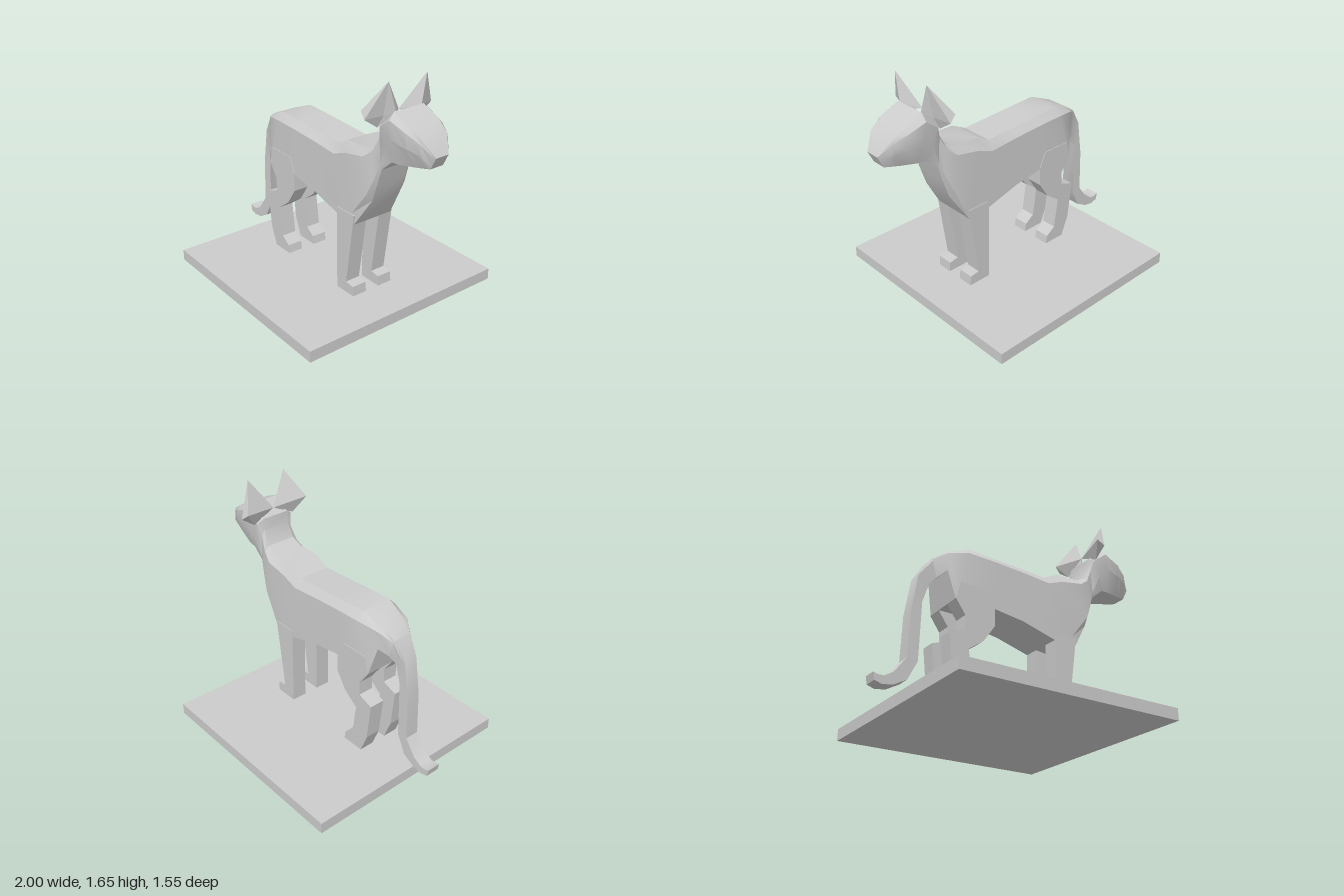
import * as THREE from 'three';
import { toCreasedNormals } from 'three/addons/utils/BufferGeometryUtils.js';

const grey = new THREE.MeshStandardMaterial({ color: 0xcccccc });
const thin = new THREE.MeshStandardMaterial({ color: 0xcccccc, side: THREE.DoubleSide });
const MID = 0.03; // z of the animal's mid-plane

function addMesh(parent, name, geometry, material = grey) {
  const mesh = new THREE.Mesh(geometry, material);
  mesh.name = name;
  parent.add(mesh);
  return mesh;
}

// Joins eight-cornered sections into a closed skin.
// Section: [topX, topY, bottomX, bottomY, sideHalf, topHalf, bottomHalf, lowCorner]
function loft(sections) {
  const pos = [], index = [], n = 8;
  for (const [tx, ty, bx, by, w = 0.05, wt = w, wb = w, low = 0.85] of sections) {
    const ring = [[0, wt], [0.13, w], [low, w], [1, wb], [1, -wb], [low, -w], [0.13, -w], [0, -wt]];
    for (const [t, z] of ring) pos.push(tx + (bx - tx) * t, ty + (by - ty) * t, z);
  }
  const last = sections.length - 1;
  for (let i = 0; i < last; i++) {
    for (let j = 0; j < n; j++) {
      const a = i * n + j, b = i * n + (j + 1) % n;
      index.push(a, b, b + n, a, b + n, a + n);
    }
  }
  for (let j = 1; j < n - 1; j++) {
    index.push(0, j + 1, j, last * n, last * n + j, last * n + j + 1);
  }
  const g = new THREE.BufferGeometry();
  g.setAttribute('position', new THREE.Float32BufferAttribute(pos, 3));
  g.setIndex(index);
  return toCreasedNormals(g, 0.5);
}

// Side outline cut out as a slab, one leg thick
function legGeometry(points) {
  const shape = new THREE.Shape(points.map(([x, y]) => new THREE.Vector2(x, y)));
  return new THREE.ExtrudeGeometry(shape, { depth: 0.11, bevelEnabled: false });
}

// Cupped ear, side = 1 for +z and -1 for -z
function earGeometry(side) {
  const tip = [0.695, 1.65, 0.15], rear = [0.57, 1.46, 0.25], outer = [0.62, 1.42, 0.265];
  const base = [0.62, 1.35, 0.165], inner = [0.62, 1.43, 0], front = [0.71, 1.455, 0.1];
  const cup = [0.655, 1.43, 0.15];
  const faces = [
    [tip, rear, inner], [rear, base, inner], [tip, outer, rear], [rear, outer, base],
    [tip, cup, outer], [outer, cup, base], [tip, front, cup], [cup, front, base], [tip, inner, front],
  ];
  const pos = [];
  for (const face of faces) {
    const order = side > 0 ? face : [face[0], face[2], face[1]];
    for (const [x, y, z] of order) pos.push(x, y, z * side);
  }
  const g = new THREE.BufferGeometry();
  g.setAttribute('position', new THREE.Float32BufferAttribute(pos, 3));
  g.computeVertexNormals();
  return g;
}

export function createModel() {
  const model = new THREE.Group();
  model.name = 'catStatue';

  // Plinth
  addMesh(model, 'base', new THREE.BoxGeometry(1.555, 0.08, 1.555)).position.set(-0.0575, 0.04, 0);

  const cat = new THREE.Group();
  cat.name = 'cat';
  cat.position.z = MID;
  model.add(cat);

  // Tail, from the curled tip up to the rump
  const tailRoot = [-0.66, 1.01, -0.625, 0.88, 0.075, 0.065];
  addMesh(cat, 'tail', loft([
    [-1, 0.175, -0.99, 0.125],
    [-0.97, 0.165, -0.94, 0.11],
    [-0.93, 0.165, -0.87, 0.12],
    [-0.87, 0.2, -0.78, 0.17],
    [-0.79, 0.31, -0.715, 0.3],
    [-0.78, 0.62, -0.705, 0.7],
    [-0.74, 0.88, -0.665, 0.83],
    tailRoot,
  ]));

  // Rump, trunk, neck and head
  addMesh(cat, 'body', loft([
    tailRoot,
    [-0.575, 1.07, -0.575, 0.93, 0.125, 0.09],
    [-0.42, 1.13, -0.53, 0.73, 0.16, 0.115, 0.16],
    [-0.2, 1.12, -0.24, 0.73, 0.16, 0.115, 0.16],
    [0, 1.11, -0.02, 0.7, 0.16, 0.115, 0.16],
    [0.19, 1.1, 0.23, 0.63, 0.16, 0.115, 0.16],
    [0.3, 1.155, 0.4, 0.61, 0.16, 0.115, 0.155],
    [0.475, 1.16, 0.53, 0.82, 0.158, 0.115, 0.115],
    [0.545, 1.2, 0.575, 0.95, 0.14, 0.105, 0.115],
    [0.595, 1.3, 0.61, 1.06, 0.125, 0.1, 0.115],
    [0.605, 1.38, 0.7, 1.14, 0.145, 0.1, 0.115, 0.6],
    [0.71, 1.465, 0.76, 1.145, 0.16, 0.115, 0.11, 0.5],
    [0.84, 1.41, 0.86, 1.155, 0.145, 0.115, 0.08, 0.5],
    [0.93, 1.35, 0.93, 1.165, 0.108, 0.1, 0.06, 0.5],
    [1, 1.25, 0.96, 1.17, 0.05],
  ]));

  // Legs and ears, one of each per side
  const frontLeg = legGeometry([
    [0.235, 0.68], [0.24, 0.08], [0.41, 0.08], [0.405, 0.15], [0.335, 0.16], [0.4, 0.61], [0.41, 0.68],
  ]);
  const hindLeg = legGeometry([
    [-0.5, 0.85], [-0.53, 0.73], [-0.46, 0.63], [-0.46, 0.53], [-0.57, 0.49], [-0.54, 0.22],
    [-0.485, 0.08], [-0.32, 0.08], [-0.33, 0.14], [-0.4, 0.19], [-0.43, 0.41], [-0.32, 0.49],
    [-0.24, 0.61], [-0.24, 0.74], [-0.29, 0.85],
  ]);
  for (const side of [1, -1]) {
    const z = side > 0 ? 0.054 : -0.164;
    addMesh(cat, 'frontLeg', frontLeg).position.z = z;
    addMesh(cat, 'hindLeg', hindLeg).position.z = z;
    addMesh(cat, 'ear', earGeometry(side), thin);
  }
  return model;
}
